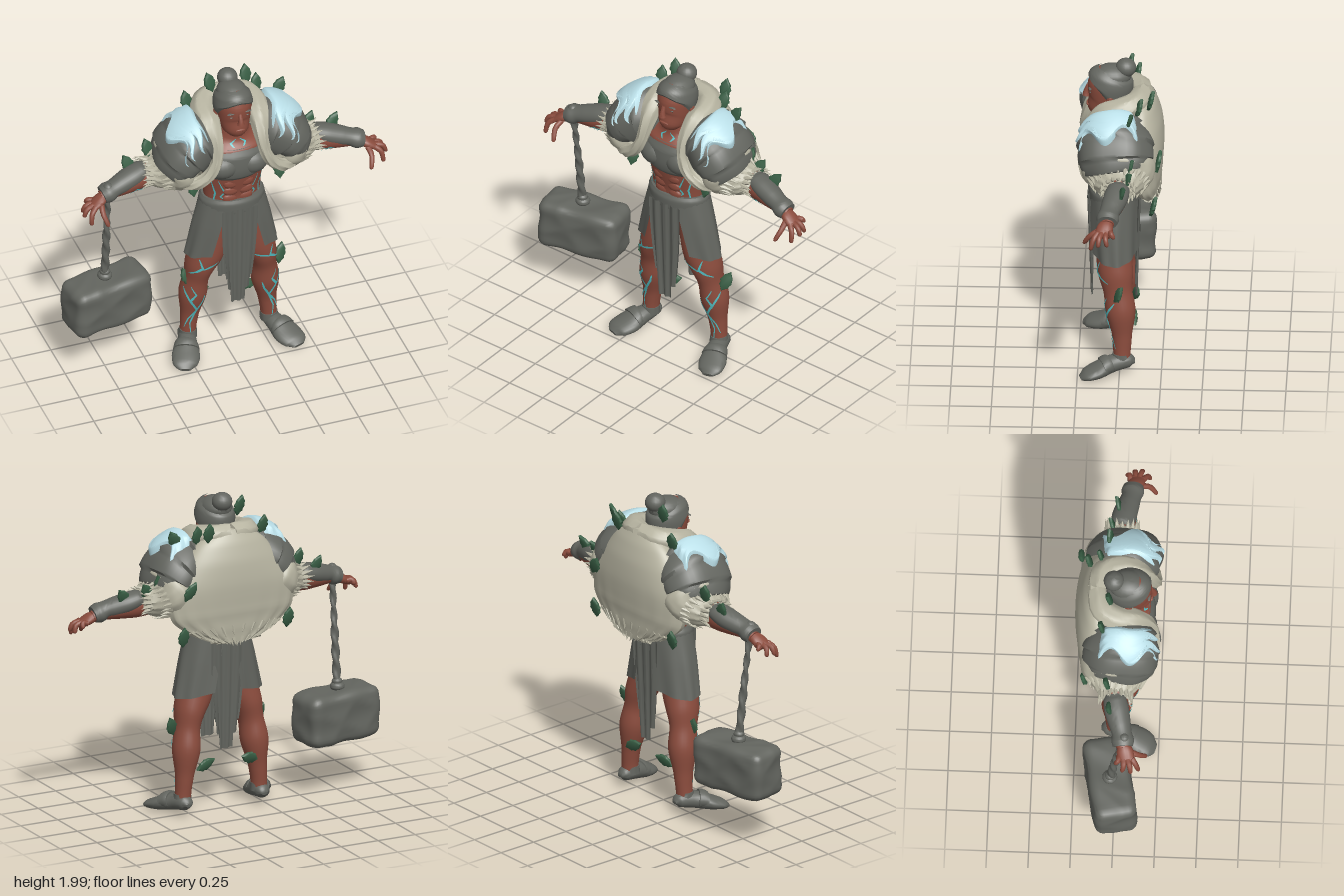
import * as THREE from 'three';
import { mergeGeometries, toCreasedNormals } from 'three/addons/utils/BufferGeometryUtils.js';

const V = (x, y, z) => new THREE.Vector3(x, y, z);
const mat = (name, color, side = THREE.FrontSide) => {
  const m = new THREE.MeshStandardMaterial({ color, side });
  m.name = name;
  return m;
};

// Grid surface from a rule; i runs along the length, j around it
function grid(ni, nj, fn) {
  const pos = [], idx = [];
  for (let i = 0; i <= ni; i++) for (let j = 0; j <= nj; j++) pos.push(...fn(i / ni, j / nj).toArray());
  for (let i = 0; i < ni; i++) for (let j = 0; j < nj; j++) {
    const a = i * (nj + 1) + j, c = a + nj + 1;
    idx.push(a, a + 1, c, a + 1, c + 1, c);
  }
  const g = new THREE.BufferGeometry();
  g.setAttribute('position', new THREE.Float32BufferAttribute(pos, 3));
  g.setIndex(idx);
  return g;
}

// Sections [x, y, z, radius, radius along ref] give a surface function of (t, angle, offset)
function surface(sections, ref = V(0, 0, 1)) {
  const path = new THREE.CatmullRomCurve3(sections.map(s => V(s[0], s[1], s[2])));
  const radii = new THREE.CatmullRomCurve3(sections.map(s => V(s[3], s[4], 0)));
  return (t, angle, off = 0, scale = 1) => {
    const T = path.getTangent(t), r = radii.getPoint(t);
    const B = ref.clone().addScaledVector(T, -ref.dot(T)).normalize();
    const N = B.clone().cross(T);
    return path.getPoint(t)
      .addScaledVector(N, (Math.max(r.x, 0.002) + off) * Math.cos(angle) * scale)
      .addScaledVector(B, (Math.max(r.y, 0.002) + off) * Math.sin(angle) * scale);
  };
}

// Closed solid around a surface function
function solid(surf, n = 28, sides = 28, bump = () => 0) {
  return grid(n + 2, sides, (u, v) => {
    const i = Math.round(u * (n + 2)), t = Math.min(Math.max((i - 1) / n, 0), 1);
    const a = (v % 1) * Math.PI * 2;
    return surf(t, a, bump(t, a), i === 0 || i === n + 2 ? 0 : 1);
  });
}
const loft = (sections, n, sides, ref) => solid(surface(sections, ref), n, sides);

const plain = g => {
  const p = g.index ? g.toNonIndexed() : g.clone();
  for (const k of Object.keys(p.attributes)) if (k !== 'position') p.deleteAttribute(k);
  p.clearGroups();
  return p;
};
const merge = list => mergeGeometries(list.map(plain));
const ball = (x, y, z, rx, ry, rz) => new THREE.SphereGeometry(1, 20, 14).scale(rx, ry, rz).translate(x, y, z);

// Thin zigzag ribbon lying on a surface, through points (t, angle)
const crack = (surf, pts, width = 0.1) => grid((pts.length - 1) * 6, 2, (u, v) => {
  const k = Math.min(Math.floor(u * (pts.length - 1)), pts.length - 2), f = u * (pts.length - 1) - k;
  const at = c => THREE.MathUtils.lerp(pts[k][c], pts[k + 1][c], f);
  const w = width * (0.35 + 0.65 * Math.sin(Math.PI * u));
  return surf(at(0), at(1) + (v - 0.5) * 2 * w, 0.005);
});

function mirrored(g) {
  const m = plain(g).scale(-1, 1, 1), p = m.attributes.position;
  for (let i = 0; i < p.count; i += 3) {
    const a = V().fromBufferAttribute(p, i + 1), b = V().fromBufferAttribute(p, i + 2);
    p.setXYZ(i + 1, b.x, b.y, b.z);
    p.setXYZ(i + 2, a.x, a.y, a.z);
  }
  return m;
}

// Fur points that continue a surface, rooted below it
function tufts(surf, t, count, len = 0.07) {
  return merge(Array.from({ length: count }, (_, k) => {
    const a = k / count * Math.PI * 2, p = surf(t, a, -0.014);
    const d = surf(Math.min(t + 0.04, 1), a, -0.006).sub(p).normalize();
    const l = len * (0.75 + 0.5 * Math.abs(Math.sin(k * 12.9)));
    return new THREE.ConeGeometry(0.02, l, 6).translate(0, l * 0.4, 0)
      .applyQuaternion(new THREE.Quaternion().setFromUnitVectors(V(0, 1, 0), d)).translate(p.x, p.y, p.z);
  }));
}

export function createModel() {
  const stone = mat('stone grey', 0x63655f), cloth = mat('cloth grey', 0x63655f, THREE.DoubleSide);
  const skin = mat('skin', 0x8b4c3d), fur = mat('fur', 0xb7b4a1), snow = mat('snow', 0xbce1ea, THREE.DoubleSide);
  const leafGreen = mat('leaf green', 0x3a6046), glow = mat('glowing cyan', 0x52bcc0, THREE.DoubleSide);
  const model = new THREE.Group(), body = new THREE.Group();
  body.name = 'warrior';
  body.position.x = 0.04;
  model.add(body);
  const add = (name, g, m, parent = body) => {
    const mesh = new THREE.Mesh(toCreasedNormals(plain(g), 0.8), m);
    mesh.name = name;
    parent.add(mesh);
    return mesh;
  };
  const pair = (name, g, m) => {
    add('left ' + name, g, m);
    add('right ' + name, mirrored(g), m);
  };

  // Torso with stomach muscles and chest armour
  const torso = surface([[0, 1.08, .04, .17, .12], [0, 1.2, .045, .178, .118], [0, 1.33, .06, .185, .13],
    [0, 1.45, .06, .22, .145], [0, 1.54, .055, .2, .135], [0, 1.6, .06, .1, .09], [0, 1.69, .07, .07, .075]]);
  add('torso', solid(torso), skin);
  pair('stomach muscles', merge([1.17, 1.23, 1.29].map(y => ball(.045, y, .146 + (y - 1.17) * .15, .05, .036, .02))), skin);
  add('chest armour', loft([[0, 1.325, .06, .18, .13], [0, 1.35, .06, .2, .15], [0, 1.42, .062, .228, .16],
    [0, 1.49, .06, .222, .155], [0, 1.545, .06, .18, .125]]), stone);
  pair('breast plate', ball(.092, 1.425, .15, .1, .082, .083), stone);
  pair('body crack', merge([crack(torso, [[.1, 1.95], [.16, 2.2], [.22, 2.05], [.33, 2.3]], .04),
    crack(torso, [[.08, 2.5], [.2, 2.4], [.32, 2.6]], .04),
    crack(torso, [[.74, 1.75], [.8, 1.95], [.86, 1.7]], .06)]), glow);

  // Head, hair and bun
  const head = surface([[0, 1.625, .13, .04, .05], [0, 1.66, .12, .075, .085], [0, 1.73, .085, .097, .115],
    [0, 1.82, .067, .106, .131], [0, 1.88, .06, .095, .118], [0, 1.92, .05, .055, .07]]);
  add('head', solid(head), skin);
  add('hair', merge([grid(16, 40, (u, v) => {
    const a = (v % 1) * Math.PI * 2, s = Math.sin(a), low = .46 + .25 * s + .03 * s * s;
    return head(low + (1 - low) * u, a, .013 * Math.min(1, u * 8));
  }), ball(0, 1.882, .05, .092, .07, .113)]), stone);
  add('hair bun', merge([ball(0, 1.935, -.03, .062, .057, .062),
    new THREE.TorusGeometry(.045, .014, 8, 20).rotateX(1.1).translate(0, 1.905, -.01)]), stone);
  add('nose', merge([loft([[0, 1.815, .193, .012, .012], [0, 1.77, .206, .015, .018], [0, 1.745, .208, .022, .022]], 8, 12),
    ball(0, 1.695, .196, .033, .009, .01)]), skin);
  pair('eyebrow', ball(.045, 1.817, .181, .034, .005, .01), stone);
  pair('eye', ball(.045, 1.79, .181, .016, .004, .005), stone);
  pair('ear', ball(.108, 1.765, .06, .013, .034, .022), skin);

  // Belt, side skirts and hanging cloths
  add('belt', loft([[0, 1.045, .04, .185, .135], [0, 1.07, .04, .203, .148], [0, 1.13, .04, .203, .15],
    [0, 1.16, .04, .188, .138]], 12), stone);
  const skirt = surface([[0, 1.13, .04, .2, .145], [0, .95, .04, .245, .152], [0, .73, .035, .29, .152]]);
  pair('side skirt', grid(12, 24, (u, v) => {
    const a = THREE.MathUtils.lerp(-1.45 + .2 * u, 1.2 - .25 * u, v);
    return skirt(u * (1 - .09 * (Math.abs(v - .5) * 2) ** 2), a, .006 * Math.cos(v * 25) * u);
  }), cloth);
  const hanging = (z, s) => grid(14, 32, (u, v) => {
    const x = (v - .5) * 2, drop = Math.abs(x + .08) < .55 ? .69 : Math.abs(x) < .85 ? .6 : .52;
    return V(s * x * (.115 - .035 * u * u), 1.1 - u * drop, z + s * (.007 * Math.cos(x * 11) - .02 * u));
  });
  add('front hanging cloth', hanging(.192, 1), cloth);
  add('back hanging cloth', hanging(-.113, -1), cloth);

  // Legs, shoes and glowing cracks
  const leg = surface([[.1, 1.08, .035, .095, .1], [.13, .87, .038, .108, .104], [.155, .74, .035, .11, .106],
    [.193, .64, .024, .093, .104], [.215, .53, .01, .076, .086], [.228, .42, -.005, .085, .09],
    [.245, .26, -.015, .057, .06], [.255, .15, -.015, .049, .052], [.258, .09, -.015, .05, .05]]);
  pair('leg', solid(leg, 40), skin);
  pair('kneecap', ball(.195, .645, .09, .052, .06, .036), skin);
  pair('leg crack', merge([crack(leg, [[.52, .9], [.58, 1.4], [.64, 1.1], [.7, 1.7], [.8, 1.3], [.92, 1.6]]),
    crack(leg, [[.55, .3], [.6, .75], [.66, 1.2]]), crack(leg, [[.6, 2.1], [.65, 2], [.7, 1.7], [.76, 1.1], [.84, .7]]),
    crack(leg, [[.28, .9], [.34, 1.3], [.38, 1], [.42, .5]]), crack(leg, [[.27, 2.1], [.31, 1.7], [.35, 1.35]])]), glow);
  pair('shoe', merge([loft([[.255, .085, -.092, .012, .02], [.257, .09, -.06, .042, .046], [.28, .08, .04, .052, .058],
    [.32, .052, .13, .043, .085], [.35, .034, .195, .03, .074], [.36, .02, .23, .012, .035]], 20, 24, V(1, 0, 0)),
  loft([[.29, .085, .06, .052, .068], [.298, .082, .075, .056, .073], [.307, .073, .1, .05, .08]], 4, 24, V(1, 0, 0)),
  loft([[.256, .14, -.01, .052, .052], [.258, .09, -.01, .056, .058]], 4, 20)]), stone);

  // Arms, bracers and hands
  const arm = surface([[.18, 1.52, 0, .08, .08], [.3, 1.47, 0, .085, .085], [.44, 1.395, 0, .085, .08],
    [.55, 1.365, .005, .078, .07], [.66, 1.35, .025, .064, .063], [.78, 1.33, .05, .042, .045], [.83, 1.315, .055, .034, .04]]);
  pair('arm', solid(arm), skin);
  pair('arm crack', merge([crack(arm, [[.54, 1.9], [.58, 2.15], [.62, 1.95], [.68, 2.2]], .08),
    crack(arm, [[.55, 2.6], [.6, 2.4], [.66, 2.65]], .08)]), glow);
  pair('bracer', loft([[.525, 1.425, -.01, .03, .045], [.55, 1.41, -.005, .05, .066], [.62, 1.385, .01, .06, .074],
    [.7, 1.362, .032, .058, .066], [.75, 1.35, .045, .052, .06], [.79, 1.335, .052, .06, .068], [.825, 1.325, .055, .05, .06]]), stone);
  const fingers = [[.875, .035, .915, 1.27, .015], [.895, .06, .948, 1.235, .055], [.895, .085, .955, 1.235, .105],
    [.885, .11, .925, 1.2, .15], [.845, .1, .835, 1.195, .19]];
  pair('hand', merge([loft([[.81, 1.32, .055, .03, .035], [.85, 1.3, .068, .03, .05], [.9, 1.272, .08, .02, .048]], 10, 16),
    ...fingers.map(([x, z, tx, ty, tz]) => loft([[x, 1.285, z, .018, .018],
      [(x + tx) / 2 + .012, (1.285 + ty) / 2 + .015, (z + tz) / 2 + .005, .016, .016],
      [tx, ty, tz, .013, .013], [tx, ty - .008, tz, .004, .004]], 8, 10, V(0, .3, 1).normalize()))]), skin);

  // Rocky shoulder plates, snow and fur cuffs
  const shoulder = surface([[.14, 1.62, .03, .11, .13], [.21, 1.6, .03, .166, .195], [.3, 1.55, .025, .158, .222],
    [.36, 1.485, .02, .13, .21], [.39, 1.43, .01, .1, .17]]);
  const layers = (t, a) => .014 * ((t * 4) % 1) + .005 * Math.sin(a * 5 + Math.floor(t * 4) * 2);
  pair('shoulder plate', solid(shoulder, 32, 40, layers), stone);
  pair('shoulder snow', grid(30, 36, (u, v) => {
    const edge = Math.min(1, 8 * Math.min(u, 1 - u, v, 1 - v));
    const zig = Math.abs((u * 3) % 1 - .5) * 2, a = -.7 + v * (1.55 + .7 * zig);
    return shoulder(.15 + u * (.36 + .08 * Math.sin(a * 6)), a, .033 * edge - .004);
  }), snow);
  const cuff = surface([[.3, 1.475, .01, .14, .19], [.345, 1.44, .005, .168, .224], [.395, 1.405, 0, .15, .208],
    [.45, 1.388, 0, .108, .155], [.51, 1.385, 0, .078, .105], [.55, 1.385, 0, .06, .075]]);
  const shaggy = (t, a) => .007 * Math.sin(a * 13 + t * 9) * t;
  pair('fur cuff', merge([solid(cuff, 20, 40, shaggy), tufts(cuff, .5, 24), tufts(cuff, .8, 18)]), fur);

  // Fur collar and back cape
  const collar = surface([[.36, 1.36, .15, .03, .035], [.28, 1.37, .195, .038, .035], [.2, 1.425, .215, .035, .033],
    [.155, 1.51, .21, .034, .033], [.145, 1.62, .17, .045, .045], [.155, 1.71, .09, .06, .065], [.16, 1.735, 0, .065, .075],
    [.12, 1.75, -.09, .07, .075], [0, 1.755, -.135, .07, .06]], V(1, 0, .2).normalize());
  pair('fur collar', solid(collar, 32, 20, (t, a) => .004 * Math.sin(a * 7 + t * 12)), fur);
  const cape = surface([[0, 1.8, -.12, .1, .05], [0, 1.72, -.12, .22, .095], [0, 1.6, -.12, .32, .13],
    [0, 1.42, -.13, .42, .13], [0, 1.28, -.155, .4, .1], [0, 1.18, -.185, .28, .06], [0, 1.11, -.21, .12, .025]]);
  const folds = (t, a) => .008 * Math.sin(a * 16) * Math.max(0, t - .4) * Math.abs(Math.cos(a)) * 2;
  add('fur cape', merge([solid(cape, 32, 64, folds), tufts(cape, .8, 26), tufts(cape, .95, 18, .045)]), fur);

  // Leaves as [x, y, z, tilt, turn]
  const leafShape = new THREE.Shape([[0, -.06], [.015, -.04], [.026, -.03], [.025, -.015], [.034, 0], [.027, .015],
    [.026, .03], [.014, .045], [0, .065], [-.014, .045], [-.026, .03], [-.027, .015], [-.034, 0], [-.025, -.015],
    [-.026, -.03], [-.015, -.04]].map(p => new THREE.Vector2(...p)));
  const leafGeo = new THREE.ExtrudeGeometry(leafShape, { depth: .012, bevelEnabled: true, bevelSize: .004, bevelThickness: .004, bevelSegments: 1 });
  const leaves = [[-.065, 1.9, -.06, .2, .2], [-.2, 1.77, -.1, .1, .2], [.25, 1.77, -.12, -.1, .2], [.38, 1.75, -.07, -.5, -.2],
    [.21, 1.8, -.19, 0, .1], [-.46, 1.51, -.06, .2, .2], [-.59, 1.44, -.04, .4, .1], [-.24, 1.3, .13, 0, .2], [-.32, 1.2, -.2, .1, .1],
    [.48, 1.49, -.07, -.3, .2], [.56, 1.45, -.06, -.5, .2], [.7, 1.43, -.03, -.6, .1], [.31, 1.3, .13, 0, -.2], [.39, 1.18, -.21, 0, .1],
    [.36, 1.47, -.24, .5, .1], [-.24, .55, .02, .4, .3], [-.12, .32, -.09, -1.2, .2], [.36, .56, 0, -.3, .3], [.18, .32, -.09, 1.2, .2]];
  leaves.forEach(([x, y, z, tilt, turn], i) => {
    const m = add('leaf ' + (i + 1), leafGeo, leafGreen, model);
    m.position.set(x, y, z);
    m.rotation.set(-.25, turn, tilt);
  });

  // Stone hammer: chipped rounded head, twisted handle and knobs
  const hammer = new THREE.Group();
  hammer.name = 'hammer';
  model.add(hammer);
  const block = new THREE.BoxGeometry(.53, .325, .268, 24, 16, 14), p = block.attributes.position;
  const core = V(.53, .325, .268).multiplyScalar(.5).subScalar(.055);
  for (let i = 0; i < p.count; i++) {
    const q = V().fromBufferAttribute(p, i), c = q.clone().clamp(core.clone().negate(), core);
    const chip = .012 * Math.abs(Math.sin(c.x * 13 + c.y * 9 + c.z * 7)) * Math.abs(Math.sin(c.x * 8 - c.y * 17 + c.z * 11));
    const taper = 1 - .5 * Math.max(0, Math.abs(q.x) - .19);
    q.sub(c).setLength(.055 - chip).add(c);
    p.setXYZ(i, q.x, q.y * taper, q.z * taper);
  }
  const hammerHead = add('hammer head', block, stone, hammer);
  hammerHead.position.set(-.73, .49, -.025);
  hammerHead.rotation.y = .2;
  const shaft = surface([[-.74, .6, -.03, .024, .024], [-.743, 1, .015, .022, .022], [-.75, 1.38, .062, .022, .022]]);
  add('hammer handle', solid(shaft, 60, 16, (t, a) => .004 * Math.sin(a * 2 + t * 45)), stone, hammer);
  add('hammer knobs', merge([ball(-.75, 1.37, .06, .032, .034, .032), ball(-.74, .66, -.025, .045, .03, .045),
    ball(-.74, .69, -.022, .032, .025, .032), ball(-.73, .335, -.025, .05, .025, .05)]), stone, hammer);
  return model;
}
